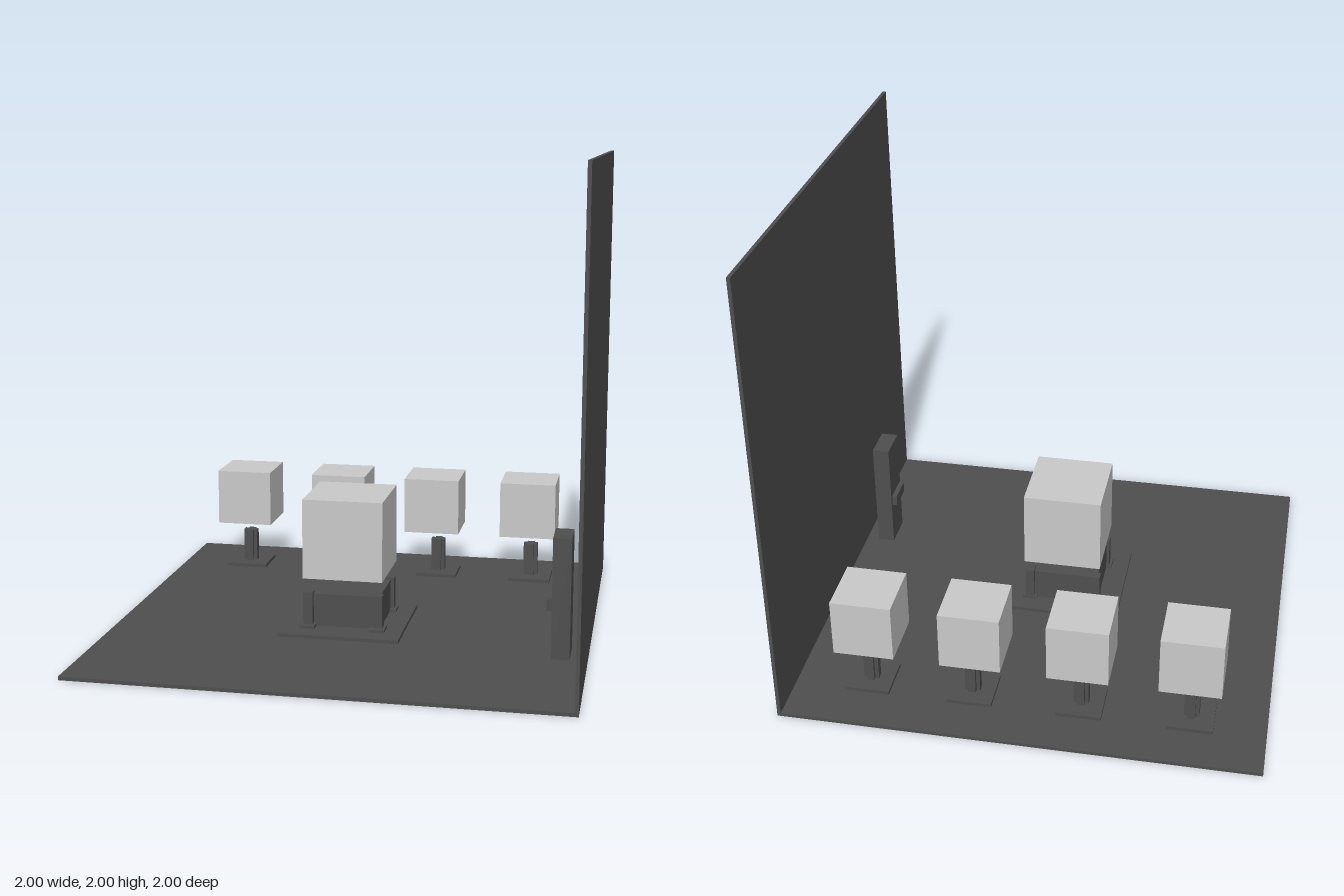
import * as THREE from 'three';

export function createModel() {
  const dark = new THREE.MeshStandardMaterial({ color: 0x4f4f4f });
  dark.name = 'dark grey';
  const light = new THREE.MeshStandardMaterial({ color: 0xcacaca });
  light.name = 'light grey';
  const model = new THREE.Group();
  model.name = 'displayRoom';

  // Box given by its extents on each axis
  function box(parent, name, mat, [x0, x1], [y0, y1], [z0, z1]) {
    const mesh = new THREE.Mesh(new THREE.BoxGeometry(x1 - x0, y1 - y0, z1 - z0), mat);
    mesh.position.set((x0 + x1) / 2, (y0 + y1) / 2, (z0 + z1) / 2);
    mesh.name = name;
    parent.add(mesh);
  }
  const around = (c, half) => [c - half, c + half];

  // Room shell
  box(model, 'floor', dark, [-1, 1], [0, 0.015], [-1, 1]);
  box(model, 'wall', dark, [0.985, 1], [0, 2], [-1, 1]);

  // Row of small pedestals along the back, each with a cube floating above
  [[-0.687, 0], [-0.227, 0], [0.233, 0], [0.672, 0.005]].forEach(([x, dz], i) => {
    const stand = new THREE.Group();
    stand.name = 'pedestal' + (i + 1);
    model.add(stand);
    const z = -0.717 + dz / 2;
    const cubeX = [-0.685, -0.228, 0.216, 0.664][i];
    box(stand, 'basePlate', dark, around(x, 0.095), [0.015, 0.03], around(z, 0.095));
    // Ribbed column of two crossing slabs
    box(stand, 'columnWide', dark, around(x, 0.032), [0.03, 0.18], around(z, 0.016));
    box(stand, 'columnDeep', dark, around(x, 0.016), [0.03, 0.18], around(z, 0.032));
    box(stand, 'cube', light, around(cubeX, 0.127), [0.235, 0.489], around(z, 0.127));
  });

  // Central table with a large cube floating above
  const table = new THREE.Group();
  table.name = 'centralTable';
  model.add(table);
  box(table, 'basePlate', dark, [-0.285, 0.225], [0.015, 0.03], [-0.145, 0.37]);
  box(table, 'body', dark, [-0.185, 0.125], [0.03, 0.17], [-0.05, 0.24]);
  for (const x of [-0.178, 0.12]) {
    for (const z of [-0.045, 0.245]) {
      box(table, 'leg', dark, around(x, 0.02), [0.03, 0.18], around(z, 0.02));
      box(table, 'foot', dark, around(x, 0.032), [0.03, 0.042], around(z + 0.01, 0.035));
    }
  }
  box(table, 'largeCube', light, [-0.2, 0.14], [0.24, 0.58], [-0.08, 0.265]);

  // Control cabinet with a small panel facing the room
  box(model, 'cabinet', dark, [0.855, 0.93], [0.015, 0.515], [0.28, 0.435]);
  box(model, 'cabinetPanel', dark, [0.833, 0.855], [0.21, 0.26], [0.295, 0.42]);

  return model;
}
